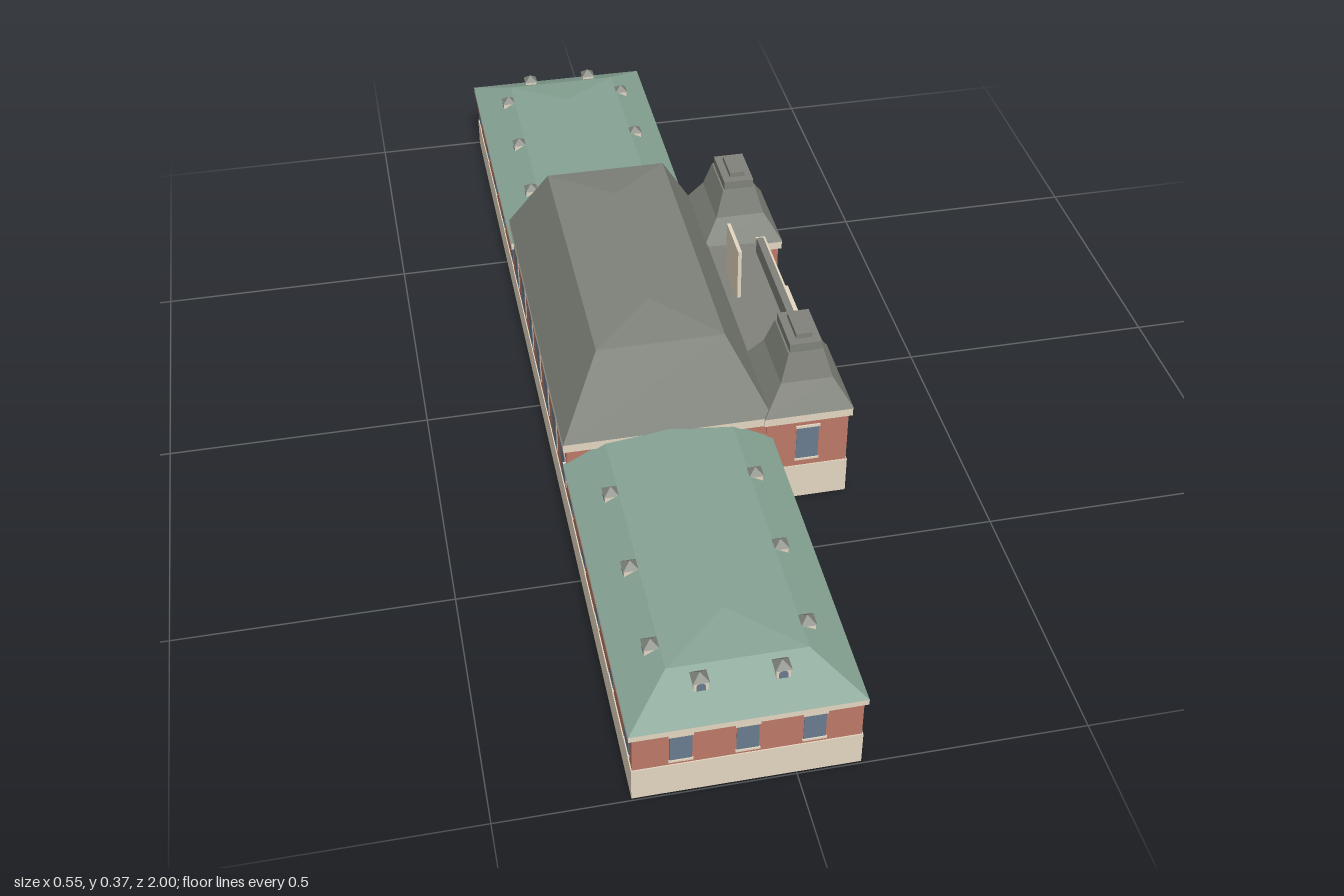
import * as THREE from 'three';

const mat = (name, color, side = THREE.FrontSide) => {
  const m = new THREE.MeshStandardMaterial({ color, side });
  m.name = name;
  return m;
};

export function createModel() {
  const root = new THREE.Group();
  root.name = 'stationBuilding';
  const stone = mat('stone', 0xe3d6c1);
  const brick = mat('brick', 0xbc7866);
  const slate = mat('slate', 0x7f827a, THREE.DoubleSide);
  const copper = mat('greenRoof', 0x86a394, THREE.DoubleSide);
  const glass = mat('glass', 0x6a7c90);
  const red = mat('shieldRed', 0xc05e50);
  const taupe = mat('shieldTop', 0x8c8578);

  const add = (parent, name, geo, material) => {
    const m = new THREE.Mesh(geo, material);
    m.name = name;
    parent.add(m);
    return m;
  };
  const group = (name, parent = root) => {
    const g = new THREE.Group();
    g.name = name;
    parent.add(g);
    return g;
  };
  // Box given by its limits
  const box = (parent, name, material, x0, x1, y0, y1, z0, z1) => {
    const m = add(parent, name, new THREE.BoxGeometry(x1 - x0, y1 - y0, z1 - z0), material);
    m.position.set((x0 + x1) / 2, (y0 + y1) / 2, (z0 + z1) / 2);
  };
  // Hollow rectangular band, grown outwards by "out" and inwards by "inn"
  const band = (parent, name, material, [x0, x1, z0, z1], y0, y1, out, inn) => {
    const rect = (C, d) => {
      const p = new C();
      p.moveTo(x0 - d, -z1 - d); p.lineTo(x1 + d, -z1 - d);
      p.lineTo(x1 + d, -z0 + d); p.lineTo(x0 - d, -z0 + d);
      p.closePath();
      return p;
    };
    const s = rect(THREE.Shape, out);
    s.holes.push(rect(THREE.Path, -inn));
    const g = new THREE.ExtrudeGeometry(s, { depth: y1 - y0, bevelEnabled: false });
    g.rotateX(-Math.PI / 2).translate(0, y0, 0);
    add(parent, name, g, material);
  };
  // Roof faces between stacked rectangles [x0, x1, z0, z1, y]
  const roof = (parent, name, material, rings) => {
    const v = [];
    const corners = ([x0, x1, z0, z1, y]) => [[x0, y, z1], [x1, y, z1], [x1, y, z0], [x0, y, z0]];
    for (let i = 0; i + 1 < rings.length; i++) {
      const a = corners(rings[i]), b = corners(rings[i + 1]);
      for (let k = 0; k < 4; k++) {
        const n = (k + 1) % 4;
        for (const t of [[a[k], a[n], b[n]], [a[k], b[n], b[k]]]) {
          const [p, q, r] = t.map((c) => new THREE.Vector3(...c));
          if (q.sub(p).cross(r.sub(p)).length() > 1e-8) v.push(...t.flat());
        }
      }
    }
    const g = new THREE.BufferGeometry();
    g.setAttribute('position', new THREE.Float32BufferAttribute(v, 3));
    g.computeVertexNormals();
    add(parent, name, g, material);
  };
  // Brick shell with stone plinth and cornice
  const block = (g, r, plinth, eave, top) => {
    band(g, 'brickWalls', brick, r, 0, eave + 0.004, 0, 0.003);
    band(g, 'plinth', stone, r, 0, plinth, 0.002, 0);
    band(g, 'cornice', stone, r, eave, top, 0.006, 0);
  };
  const archShape = (w, h) => {
    const s = new THREE.Shape();
    s.moveTo(-w / 2, 0);
    s.lineTo(w / 2, 0);
    s.lineTo(w / 2, h - w / 2);
    s.absarc(0, h - w / 2, w / 2, 0, Math.PI, false);
    s.closePath();
    return s;
  };
  const plate = (shape, depth) =>
    new THREE.ExtrudeGeometry(shape, { depth, bevelEnabled: false, curveSegments: 8 });
  // Windows stand on (x, y, z) and face along the angle
  const place = (g, x, y, z, angle) => { g.position.set(x, y, z); g.rotation.y = angle; };
  const squareWindow = (parent, x, y, z, angle, w, h) => {
    const g = group('window', parent);
    box(g, 'pane', glass, -w / 2, w / 2, 0, h, -0.002, 0.001);
    box(g, 'sill', stone, -w / 2 - 0.002, w / 2 + 0.002, -0.004, 0, -0.002, 0.003);
    box(g, 'lintel', stone, -w / 2 - 0.002, w / 2 + 0.002, h, h + 0.005, -0.002, 0.003);
    place(g, x, y, z, angle);
  };
  const archWindow = (parent, x, y, z, angle, w, h) => {
    const g = group('archedWindow', parent);
    add(g, 'surround', plate(archShape(w + 0.012, h + 0.006), 0.001), stone);
    add(g, 'pane', plate(archShape(w, h), 0.002), glass);
    place(g, x, y, z, angle);
  };
  // Small dormer with a pyramid roof
  const dormer = (parent, x, z, angle) => {
    const g = group('dormer', parent);
    box(g, 'dormerBody', stone, -0.012, 0.012, 0, 0.019, -0.012, 0.012);
    roof(g, 'dormerRoof', slate, [
      [-0.014, 0.014, -0.014, 0.014, 0.0185], [0, 0, 0, 0, 0.031]]);
    const pane = add(g, 'dormerPane', plate(archShape(0.015, 0.016), 0.001), glass);
    pane.position.set(0, 0.001, 0.0118);
    place(g, x, 0.176, z, angle);
  };
  const R = Math.PI / 2, X0 = -0.271, X1 = 0.107, MID = -0.083;

  for (const s of [1, -1]) {
    const span = (a, b) => (s > 0 ? [a, b] : [-b, -a]);

    // Long low wings
    const wing = group(s > 0 ? 'frontWing' : 'backWing');
    block(wing, [X0, X1, ...span(0.352, 0.994)], 0.066, 0.141, 0.152);
    roof(wing, 'wingRoof', copper, [
      [-0.277, 0.113, ...span(0.352, 1), 0.152],
      [-0.2, 0.036, ...span(0.352, 0.91), 0.196],
      [MID, MID, ...span(0.352, 0.81), 0.21]]);
    for (let i = 0; i < 5; i++) {
      const z = s * (0.397 + i * 0.139);
      squareWindow(wing, X1, 0.077, z, R, 0.037, 0.055);
      squareWindow(wing, X0, 0.077, z, -R, 0.037, 0.055);
    }
    for (const x of [-0.192, MID, 0.027])
      squareWindow(wing, x, 0.077, s * 0.994, s > 0 ? 0 : Math.PI, 0.037, 0.055);
    for (const z of [0.487, 0.672, 0.852]) {
      dormer(wing, 0.047, s * z, R);
      dormer(wing, -0.213, s * z, -R);
    }
    for (const x of [-0.15, -0.016]) dormer(wing, x, s * 0.937, s > 0 ? 0 : Math.PI);

    // Corner pavilions with flared roofs and stepped caps
    const pav = group(s > 0 ? 'frontPavilion' : 'backPavilion');
    const c = s * 0.27, cx = 0.179;
    block(pav, [0.101, 0.256, c - 0.088, c + 0.088], 0.077, 0.187, 0.205);
    const ring = (hx, hz, y) => [cx - hx, cx + hx, c - hz, c + hz, y];
    roof(pav, 'pavilionRoof', slate, [
      ring(0.084, 0.096, 0.205), ring(0.049, 0.066, 0.262), ring(0.033, 0.052, 0.317),
      ring(0.029, 0.048, 0.317)]);
    box(pav, 'capBase', slate, cx - 0.03, cx + 0.03, 0.315, 0.335, c - 0.049, c + 0.049);
    box(pav, 'capTop', slate, cx - 0.015, cx + 0.015, 0.335, 0.345, c - 0.033, c + 0.033);
    squareWindow(pav, 0.256, 0.095, c, R, 0.05, 0.075);
    squareWindow(pav, cx, 0.095, c + s * 0.088, s > 0 ? 0 : Math.PI, 0.042, 0.074);
  }

  // Tall central hall
  const hall = group('centralHall');
  block(hall, [X0, X1, -0.355, 0.355], 0.066, 0.187, 0.205);
  roof(hall, 'hallRoof', slate, [
    [-0.277, 0.111, -0.362, 0.362, 0.205],
    [-0.201, 0.035, -0.288, 0.288, 0.354],
    [MID, MID, -0.175, 0.175, 0.37]]);
  for (let i = -3; i <= 3; i++) archWindow(hall, X0, 0.082, i * 0.104, -R, 0.044, 0.09);

  // Entrance between the pavilions
  const entry = group('entrance');
  box(entry, 'entryWall', brick, 0.214, 0.218, 0, 0.2, -0.182, 0.182);
  box(entry, 'entryPlinth', stone, 0.218, 0.221, 0, 0.085, -0.182, 0.182);
  box(entry, 'entryCornice', stone, 0.206, 0.226, 0.195, 0.221, -0.178, 0.178);
  roof(entry, 'entryRoof', slate, [
    [0.085, 0.21, -0.178, 0.178, 0.208],
    [0.085, 0.085, -0.178, 0.178, 0.213]]);
  box(entry, 'parapet', slate, 0.2, 0.214, 0.206, 0.243, -0.145, 0.145);
  box(entry, 'canopy', stone, 0.215, 0.277, 0.078, 0.094, -0.17, 0.17);
  for (const z of [-0.109, 0, 0.109]) archWindow(entry, 0.218, 0.094, z, R, 0.068, 0.086);

  // Striped shield standing before the hall roof
  const shield = group('shield');
  const outline = (w, top, low, tip) => new THREE.Shape([
    [-w, top], [-w, low], [0, tip], [w, low], [w, top]].map((p) => new THREE.Vector2(...p)));
  add(shield, 'shieldPlate', plate(outline(0.049, 0.12, 0.012, 0), 0.007), stone);
  box(shield, 'shieldTop', taupe, -0.044, 0.044, 0.083, 0.114, 0.006, 0.0078);
  for (let i = -4; i <= 4; i += 2)
    box(shield, 'shieldStripe', red, i * 0.0098 - 0.0049, i * 0.0098 + 0.0049, 0.014, 0.083, 0.006, 0.0078);
  place(shield, 0.115, 0.236, 0, R);

  return root;
}
